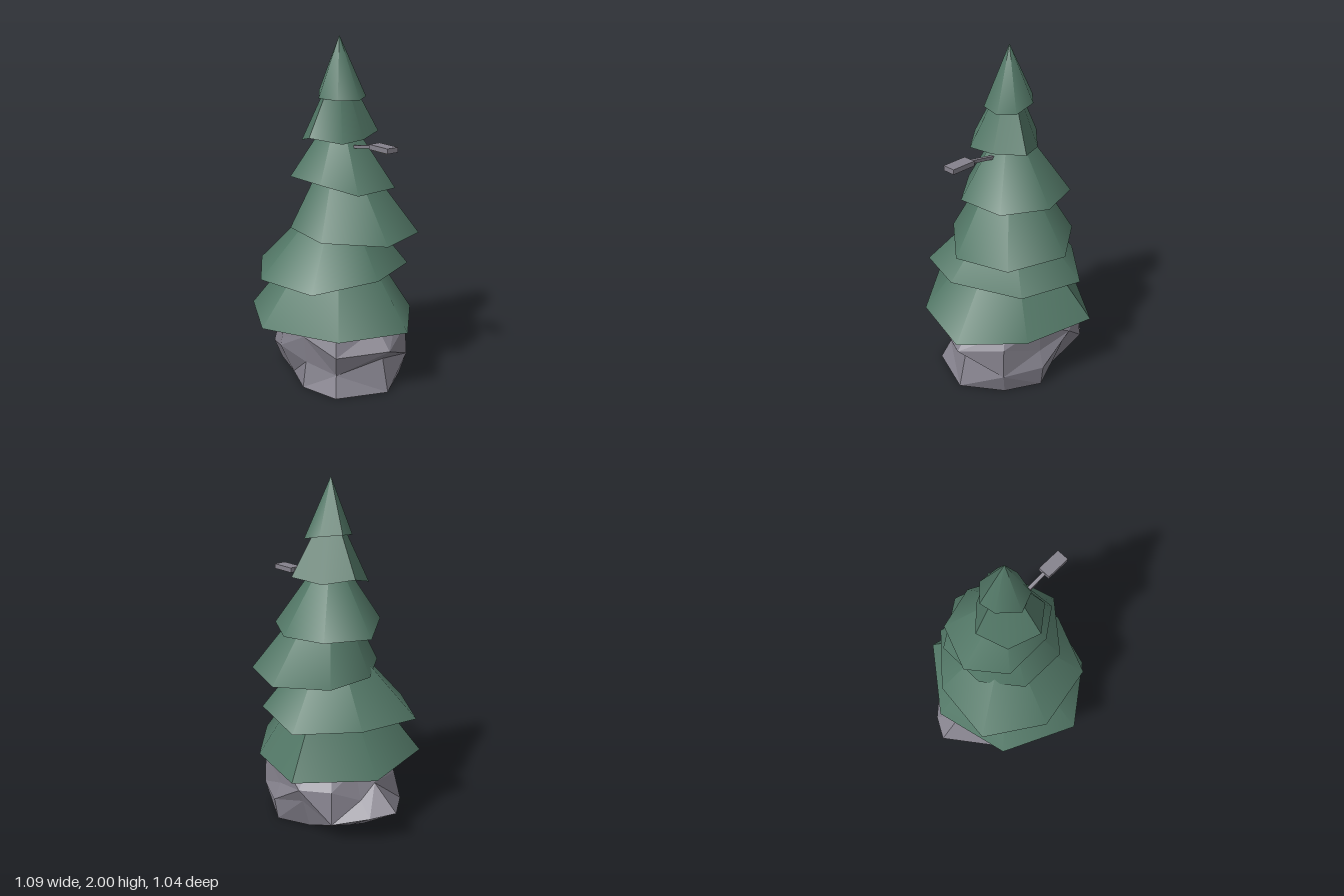
import * as THREE from 'three';
import { toCreasedNormals } from 'three/addons/utils/BufferGeometryUtils.js';

const mat = (name, color) => {
  const m = new THREE.MeshStandardMaterial({ color });
  m.name = name;
  return m;
};

// Skin over stacked rings of points (lowest first), closed by a point at each end.
function loft(bottom, rings, top) {
  const pos = [];
  const tri = (...pts) => pts.forEach((p) => pos.push(...p));
  const n = rings[0].length;
  const last = rings[rings.length - 1];
  for (let i = 0; i < n; i++) {
    const j = (i + 1) % n;
    tri(bottom, rings[0][i], rings[0][j]);
    for (let r = 0; r < rings.length - 1; r++) {
      const lo = rings[r], hi = rings[r + 1];
      // vary the diagonal so the facets look irregular
      if ((i * 2 + r) % 3) {
        tri(lo[i], hi[i], lo[j]);
        tri(lo[j], hi[i], hi[j]);
      } else {
        tri(lo[i], hi[i], hi[j]);
        tri(lo[i], hi[j], lo[j]);
      }
    }
    tri(last[i], top, last[j]);
  }
  const g = new THREE.BufferGeometry();
  g.setAttribute('position', new THREE.Float32BufferAttribute(pos, 3));
  g.computeVertexNormals();
  return g;
}

export function createModel() {
  const model = new THREE.Group();
  const green = mat('pine green', 0x527766);
  const stone = mat('stone grey', 0x85828d);
  const metal = mat('metal grey', 0x85828c);
  const glow = mat('lamp cream', 0xeedb98);
  const brown = mat('bark brown', 0x6a3632);

  const add = (parent, name, geometry, material, x = 0, y = 0, z = 0) => {
    const m = new THREE.Mesh(geometry, material);
    m.name = name;
    m.position.set(x, y, z);
    parent.add(m);
    return m;
  };

  // Foliage tiers: cone tip height and seven ragged rim corners
  const tiers = [
    { tip: 1.07, rim: [[0.54, 0.38, -0.14], [0.42, 0.385, 0.26], [0.06, 0.415, 0.52], [-0.365, 0.39, 0.31],
      [-0.47, 0.38, -0.15], [-0.18, 0.385, -0.525], [0.25, 0.38, -0.42]] },
    { tip: 1.18, rim: [[0.44, 0.69, 0.0], [0.3, 0.645, 0.35], [-0.1, 0.635, 0.42], [-0.43, 0.64, 0.2],
      [-0.39, 0.66, -0.19], [-0.13, 0.645, -0.475], [0.26, 0.67, -0.38]] },
    { tip: 1.49, rim: [[0.45, 0.88, -0.06], [0.21, 0.895, 0.22], [-0.085, 0.915, 0.22], [-0.25, 0.895, 0.0],
      [-0.25, 0.895, -0.3], [0.025, 0.885, -0.485], [0.36, 0.885, -0.37]] },
    { tip: 1.63, rim: [[0.31, 1.155, 0.04], [0.13, 1.2, 0.165], [-0.16, 1.195, 0.165], [-0.31, 1.145, -0.05],
      [-0.21, 1.155, -0.31], [0.045, 1.15, -0.38], [0.29, 1.155, -0.245]] },
    { tip: 1.88, rim: [[0.205, 1.43, 0.07], [0.055, 1.455, 0.185], [-0.12, 1.41, 0.11], [-0.19, 1.46, -0.06],
      [-0.06, 1.43, -0.19], [0.11, 1.455, -0.265], [0.19, 1.435, -0.09]] },
    { tip: 2.0, rim: [[0.125, 1.655, 0.04], [0.01, 1.66, 0.085], [-0.1, 1.69, 0.0], [-0.12, 1.7, -0.09],
      [-0.03, 1.69, -0.18], [0.1, 1.66, -0.18], [0.155, 1.65, -0.09]] },
  ];
  const tree = new THREE.Group();
  tree.name = 'tree';
  model.add(tree);
  tiers.forEach(({ tip, rim }, i) => {
    const midY = rim.reduce((s, p) => s + p[1], 0) / rim.length + 0.01;
    const g = loft([0.02, midY, -0.05], [rim], [0.02, tip, -0.05]);
    add(tree, `foliageTier${i + 1}`, toCreasedNormals(g, 0.95), green);
  });

  // Faceted boulder: rings of radii at shared angles, each with a wavering height
  const cz = -0.07;
  const angles = [0, 40, 72, 108, 144, 180, 196, 222, 252, 288, 324];
  const layers = [
    { y: 0, wave: 0, radii: [0.46, 0.45, 0.37, 0.29, 0.37, 0.28, 0.25, 0.24, 0.26, 0.35, 0.38] },
    { y: 0.15, wave: 0.045, radii: [0.41, 0.39, 0.34, 0.37, 0.42, 0.545, 0.49, 0.42, 0.33, 0.37, 0.42] },
    { y: 0.27, wave: 0.045, radii: [0.47, 0.44, 0.36, 0.36, 0.38, 0.37, 0.38, 0.39, 0.37, 0.33, 0.41] },
    { y: 0.39, wave: 0.02, radii: [0.36, 0.37, 0.35, 0.34, 0.33, 0.3, 0.31, 0.3, 0.3, 0.33, 0.36] },
  ];
  const rings = layers.map(({ y, wave, radii }, k) => radii.map((r, i) => {
    const a = THREE.MathUtils.degToRad(angles[i]);
    return [r * Math.cos(a), y + wave * Math.sin(i * 2.3 + k * 1.7), cz + r * Math.sin(a)];
  }));
  add(model, 'boulder', loft([0, 0, cz], rings, [0, 0.44, cz]), stone);

  // Small lamp on an arm reaching out of the branches
  const lamp = new THREE.Group();
  lamp.name = 'lamp';
  model.add(lamp);
  const arm = add(lamp, 'lampArm', new THREE.BoxGeometry(0.25, 0.018, 0.02), metal, 0.22, 1.405, -0.055);
  arm.rotation.z = 0.17;
  add(lamp, 'lampMount', new THREE.BoxGeometry(0.05, 0.02, 0.026), brown, 0.12, 1.387, -0.055);
  add(lamp, 'lampHead', new THREE.BoxGeometry(0.15, 0.028, 0.075), metal, 0.402, 1.427, -0.055);
  add(lamp, 'lampGlass', new THREE.BoxGeometry(0.115, 0.006, 0.05), glow, 0.402, 1.411, -0.055);

  return model;
}
